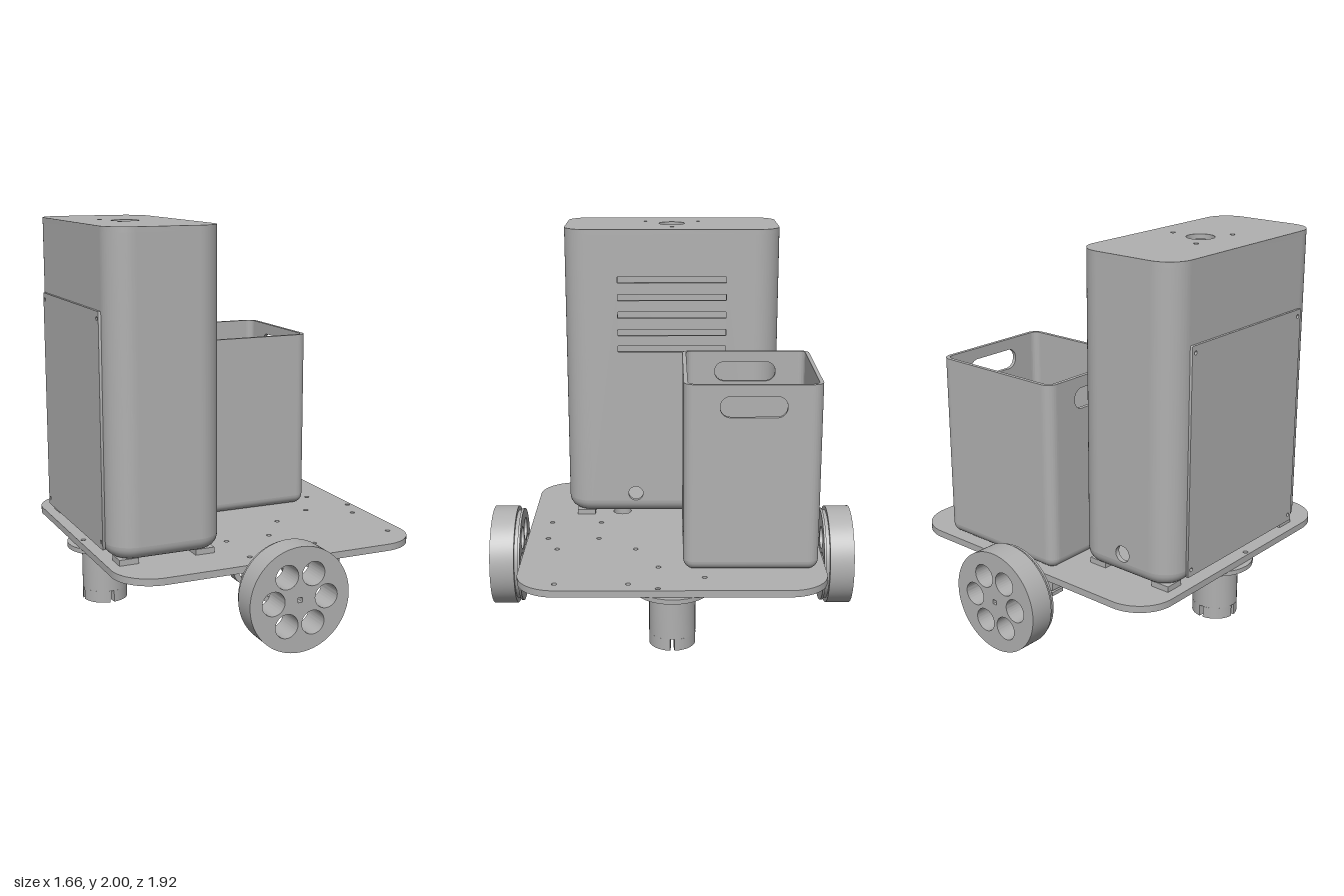
import * as THREE from 'three';
import { toCreasedNormals } from 'three/addons/utils/BufferGeometryUtils.js';

const PI = Math.PI;
const grey = new THREE.MeshStandardMaterial({ color: 0xb0b0b0 });
grey.name = 'grey';

function add(parent, name, geo, x = 0, y = 0, z = 0) {
  const mesh = new THREE.Mesh(geo, grey);
  mesh.name = name;
  mesh.position.set(x, y, z);
  parent.add(mesh);
  return mesh;
}

function group(parent, name, x = 0, y = 0, z = 0) {
  const g = new THREE.Group();
  g.name = name;
  g.position.set(x, y, z);
  parent.add(g);
  return g;
}

// Outlines
function rounded(path, cx, cy, w, h, r) {
  const x = w / 2 - r, y = h / 2 - r;
  path.absarc(cx + x, cy + y, r, 0, PI / 2);
  path.absarc(cx - x, cy + y, r, PI / 2, PI);
  path.absarc(cx - x, cy - y, r, PI, 1.5 * PI);
  path.absarc(cx + x, cy - y, r, 1.5 * PI, 2 * PI);
  path.closePath();
  return path;
}
const circle = (path, x, y, r) => path.absarc(x, y, r, 0, 2 * PI);
const hole = (x, y, r) => circle(new THREE.Path(), x, y, r);
const slot = (x, y, w, h, r) => rounded(new THREE.Path(), x, y, w, h, r);
function ringSector(r, inner, a0, a1) {
  const s = new THREE.Shape();
  s.absarc(0, 0, r, a0, a1);
  s.absarc(0, 0, inner, a1, a0, true);
  s.closePath();
  return s;
}

function extrude(shape, depth, holes = []) {
  shape.holes.push(...holes);
  const geo = new THREE.ExtrudeGeometry(shape, { depth, bevelEnabled: false, curveSegments: 16 });
  return toCreasedNormals(geo, 0.6);
}
// Extrusion standing upright: shape y becomes -z
const slab = (shape, height, holes) => extrude(shape, height, holes).rotateX(-PI / 2);

// Rounded tray: outer skin up to the rim, then the inner skin back down
function bowl(w, d, r, t, f) {
  const rows = [[w / 2, 0]];
  for (let i = 0; i <= 8; i++) {
    const a = (i / 8) * PI / 2;
    rows.push([f * (1 - Math.sin(a)), f * (1 - Math.cos(a))]);
  }
  for (let i = 8; i >= 0; i--) {
    const a = (i / 8) * PI / 2, g = f - t;
    rows.push([t + g * (1 - Math.sin(a)), t + g * (1 - Math.cos(a))]);
  }
  rows.push([w / 2, t]);
  const pos = [], index = [], n = 36;
  rows.forEach(([inset, y], i) => {
    const middle = i === 0 || i === rows.length - 1;
    const cr = Math.max(r - inset, 0.004);
    for (let j = 0; j < n; j++) {
      const k = Math.floor(j / 9), a = (k + (j % 9) / 8) * PI / 2;
      const sx = k === 0 || k === 3 ? 1 : -1, sz = k < 2 ? 1 : -1;
      const x = sx * (w / 2 - inset - cr) + cr * Math.cos(a);
      const z = sz * (d / 2 - inset - cr) + cr * Math.sin(a);
      pos.push(middle ? 0 : x, y, middle ? 0 : z);
      if (i + 1 < rows.length) {
        const p = i * n + j, q = i * n + (j + 1) % n;
        index.push(p, p + n, q, q, p + n, q + n);
      }
    }
  });
  const geo = new THREE.BufferGeometry();
  geo.setAttribute('position', new THREE.Float32BufferAttribute(pos, 3));
  geo.setIndex(index);
  return toCreasedNormals(geo, 0.6);
}

// Hollow container: tray, four quarter-round corners, four walls (front, right, back, left)
function container(g, w, d, h, r, t, f, holes) {
  add(g, 'tray', bowl(w, d, r, t, f));
  const signs = [[1, -1], [-1, -1], [-1, 1], [1, 1]];
  signs.forEach(([sx, sz], k) => {
    const c = add(g, 'corner', slab(ringSector(r, r - t, 0, PI / 2), h - f),
      sx * (w / 2 - r), f, sz * (d / 2 - r));
    c.rotation.y = k * PI / 2;
  });
  for (let k = 0; k < 4; k++) {
    const width = (k % 2 ? d : w) - 2 * r, out = (k % 2 ? w : d) / 2 - t, x = width / 2;
    const s = new THREE.Shape([[-x, f], [x, f], [x, h], [-x, h]].map(p => new THREE.Vector2(...p)));
    const geo = extrude(s, t, holes[k]).translate(0, 0, out);
    add(g, 'wall', geo).rotation.y = k * PI / 2;
  }
}

export function createModel() {
  const model = new THREE.Group();
  model.name = 'cartRobot';

  // Base plate with bolt holes and cable slots
  const casterBolts = [[0, 0.16], [-0.13, -0.07], [0.135, -0.07]];
  const bolts = [[0.27, 0.19], [0.72, 0.215], [0.72, 0.575], [0.27, 0.6]].map(([x, z]) => [x, -z]);
  for (const s of [-1, 1]) {
    casterBolts.forEach(([x, y]) => bolts.push([s * (0.64 + x), y]));
    for (const x of [-0.12, 0.12]) for (const z of [0.39, 0.66]) bolts.push([x, s * z]);
  }
  const plateHoles = bolts.map(([x, y]) => hole(x, y, 0.013));
  plateHoles.push(hole(-0.305, -0.28, 0.05), slot(-0.43, -0.02, 0.03, 0.38, 0.014),
    slot(0.01, 0.24, 0.64, 0.09, 0.044));
  add(model, 'basePlate', slab(rounded(new THREE.Shape(), 0, 0, 1.6, 1.54, 0.2), 0.035, plateHoles), 0, 0.365, 0);

  // Tall cabinet
  const tower = group(model, 'cabinet', -0.4975, 0.425, 0);
  const vents = [1.735, 1.64, 1.545, 1.45, 1.36].map(y => slot(0, y - 0.425, 0.58, 0.033, 0.002));
  const W = 0.575, D = 1.15, H = 1.575, T = 0.025;
  container(tower, W, D, H - T, 0.13, T, 0.07,
    [[], [...vents, hole(-0.2, 0.113, 0.04)], [hole(0, 0.115, 0.042)], []]);
  add(tower, 'cabinetTop', slab(rounded(new THREE.Shape(), 0, 0, W, D, 0.13), T,
    [hole(0, 0, 0.07), hole(-0.083, 0.145, 0.012), hole(-0.083, -0.145, 0.012), hole(0.168, 0, 0.012)]), 0, H - T, 0);
  const door = extrude(rounded(new THREE.Shape(), 0, 0.61, 0.89, 1.15, 0.004), 0.013,
    [-0.42, 0.42].flatMap(x => [0.07, 1.15].map(y => hole(x, y, 0.01))));
  add(tower, 'accessDoor', door, -W / 2).rotation.y = -PI / 2;
  for (const x of [-0.695, -0.3]) for (const z of [-0.48, 0.48])
    add(model, 'cabinetFoot', new THREE.BoxGeometry(0.1, 0.03, 0.1), x, 0.414, z);

  // Open bin with grip holes on both sides
  const bin = group(model, 'bin', 0.195, 0.402, -0.3925);
  const grip = () => [slot(0, 0.847, 0.325, 0.105, 0.05)];
  container(bin, 0.75, 0.675, 0.958, 0.055, 0.02, 0.05, [[], grip(), [], grip()]);

  // Drive wheels and motor clamps, front and back
  const disc = (r, depth) => {
    const holes = [slot(0, 0, 0.024, 0.024, 0.001)];
    for (let i = 0; i < 6; i++) holes.push(hole(0.14 * Math.cos(i * PI / 3), 0.14 * Math.sin(i * PI / 3), 0.06));
    const s = new THREE.Shape();
    circle(s, 0, 0, r);
    s.holes.push(...holes);
    return toCreasedNormals(new THREE.ExtrudeGeometry(s, { depth, bevelEnabled: false, curveSegments: 48 }), 0.6);
  };
  const upperClamp = new THREE.Shape();
  upperClamp.moveTo(0.15, 0.01);
  [[0.15, 0.06], [0.1, 0.06], [0.1, 0.1], [-0.1, 0.1], [-0.1, 0.06], [-0.15, 0.06], [-0.15, 0.01]]
    .forEach(p => upperClamp.lineTo(...p));
  upperClamp.absarc(0, 0, 0.077, PI - 0.13, 0.13, true);
  upperClamp.closePath();
  const lowerClamp = new THREE.Shape();
  lowerClamp.moveTo(-0.15, 0);
  lowerClamp.lineTo(-0.15, -0.02);
  lowerClamp.absarc(0, 0, 0.105, PI + 0.19, 2 * PI - 0.19);
  lowerClamp.lineTo(0.15, -0.02);
  lowerClamp.lineTo(0.15, 0);
  lowerClamp.absarc(0, 0, 0.077, 2 * PI, PI, true);
  lowerClamp.closePath();
  for (const turn of [0, PI]) {
    const drive = group(model, turn ? 'backDrive' : 'frontDrive', 0, 0.263, 0);
    drive.rotation.y = turn;
    add(drive, 'wheelTyre', disc(0.263, 0.127), 0, 0, 0.833);
    add(drive, 'wheelGroove', disc(0.24, 0.02), 0, 0, 0.814);
    add(drive, 'wheelRim', disc(0.25, 0.012), 0, 0, 0.803);
    const hub = circle(new THREE.Shape(), 0, 0, 0.05);
    add(drive, 'wheelHub', extrude(hub, 0.05, [slot(0, 0, 0.024, 0.024, 0.001)]), 0, 0, 0.757);
    for (const z of [0.365, 0.63]) {
      add(drive, 'upperClamp', extrude(upperClamp, 0.075), 0, 0.002, z);
      add(drive, 'lowerClamp', extrude(lowerClamp, 0.075), 0, 0.002, z);
    }
  }

  // Caster housings with four slots at the lower end
  for (const s of [-1, 1]) {
    const caster = group(model, s < 0 ? 'rightCaster' : 'leftCaster', s * 0.64, 0, 0);
    const flange = circle(new THREE.Shape(), 0, 0, 0.19);
    add(caster, 'casterFlange', slab(flange, 0.024, casterBolts.map(([x, y]) => hole(s * x, y, 0.013))), 0, 0.341, 0);
    const tube = circle(new THREE.Shape(), 0, 0, 0.115);
    add(caster, 'casterTube', slab(tube, 0.221, [hole(0, 0, 0.075)]), 0, 0.12, 0);
    for (let k = 0; k < 4; k++)
      add(caster, 'casterSegment', slab(ringSector(0.115, 0.075, 0.09, PI / 2 - 0.09), 0.06), 0, 0.06, 0).rotation.y = k * PI / 2;
  }
  return model;
}
